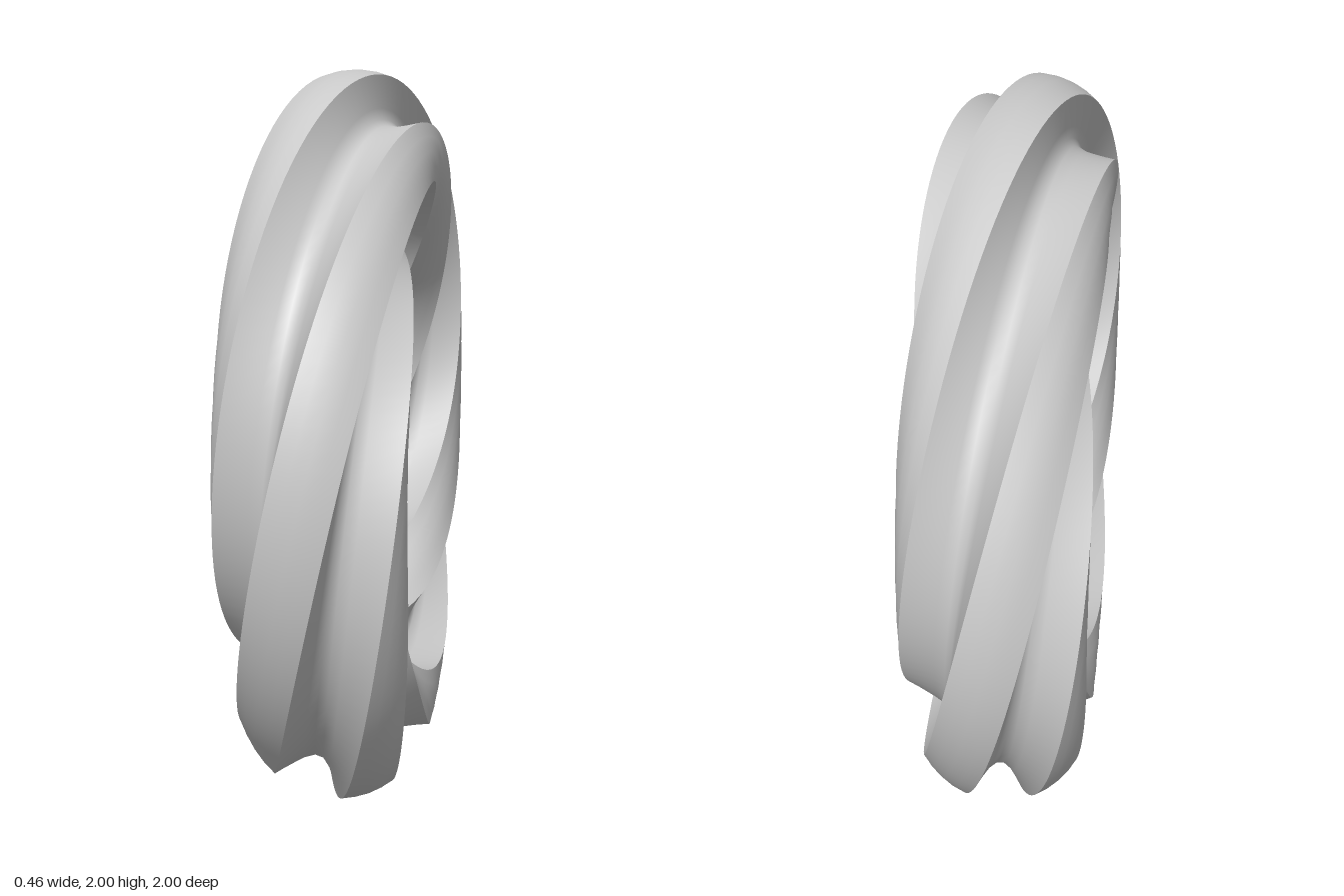
import * as THREE from 'three';
import { toCreasedNormals } from 'three/addons/utils/BufferGeometryUtils.js';

const RING = 0.768;   // radius of the ring's centre line
const TIP = 0.232;    // radius of the cross-section
const HALF = 0.079;   // half width of one arm
const STEPS = 128;    // sections around the ring

// Four-armed cross: rounded tips, parallel walls, filleted valleys.
// Each point is [angle from the outward direction, radius].
function crossSection() {
  const points = [];
  const tipAngle = Math.asin(HALF / TIP);
  const valley = [[0.13, 0.078], [0.1, 0.084], [0.084, 0.1], [0.078, 0.13]];
  for (let arm = 0; arm < 4; arm++) {
    const turn = arm * Math.PI / 2;
    for (let k = -2; k <= 2; k++) points.push([turn + tipAngle * k / 2, TIP]);
    for (const [along, across] of valley) {
      points.push([turn + Math.atan2(across, along), Math.hypot(along, across)]);
    }
  }
  return points;
}

// Sweep the cross around the x axis, twisting it one full turn on the way.
function twistedRing() {
  const section = crossSection();
  const n = section.length;
  const positions = [];
  const index = [];
  for (let i = 0; i < STEPS; i++) {
    const t = i / STEPS * Math.PI * 2;
    for (const [angle, radius] of section) {
      const r = RING + radius * Math.cos(angle + t);
      positions.push(radius * Math.sin(angle + t), 1 + r * Math.cos(t), -r * Math.sin(t));
    }
    const next = (i + 1) % STEPS;
    for (let j = 0; j < n; j++) {
      const k = (j + 1) % n;
      const a = i * n + j, b = i * n + k, c = next * n + k, d = next * n + j;
      index.push(a, b, c, a, c, d);
    }
  }
  const geometry = new THREE.BufferGeometry();
  geometry.setAttribute('position', new THREE.Float32BufferAttribute(positions, 3));
  geometry.setIndex(index);
  return toCreasedNormals(geometry, 0.75);
}

export function createModel() {
  const group = new THREE.Group();
  group.name = 'twistedRingModel';
  const ring = new THREE.Mesh(twistedRing(), new THREE.MeshStandardMaterial({ color: 0xcccccc }));
  ring.name = 'twistedRing';
  group.add(ring);
  return group;
}
